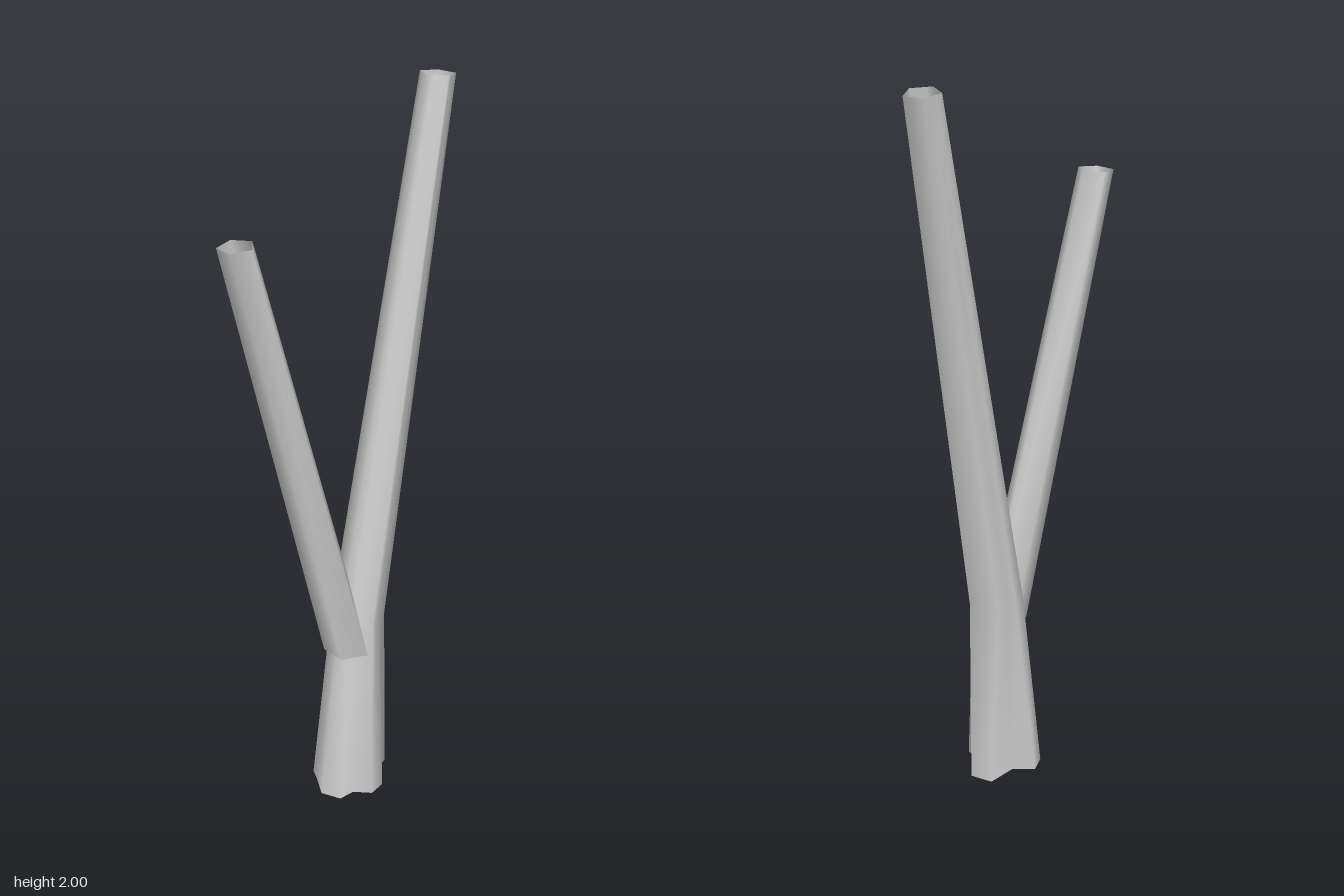
import * as THREE from 'three';

const material = new THREE.MeshStandardMaterial({ color: 0xcccccc, side: THREE.DoubleSide });

// Point at parameter t (0..5, one unit per side) on a pentagon ring tilted along x
function pentagonPoint({ x, y, z, r, start, tilt = 0 }, t) {
  const corner = (i) => {
    const a = THREE.MathUtils.degToRad(start + 72 * i);
    const dx = r * Math.cos(a);
    return new THREE.Vector3(x + dx, y + tilt * dx, z + r * Math.sin(a));
  };
  const i = Math.floor(t);
  return corner(i).lerp(corner(i + 1), t - i);
}

// Open smooth tube through closed rings, listed from bottom to top
function loft(name, rings) {
  const n = rings[0].length;
  const index = [];
  for (let i = 0; i < rings.length - 1; i++) {
    for (let j = 0; j < n; j++) {
      const a = i * n + j;
      const b = i * n + (j + 1) % n;
      index.push(a, a + n, b, b, a + n, b + n);
    }
  }
  const geometry = new THREE.BufferGeometry().setFromPoints(rings.flat());
  geometry.setIndex(index);
  geometry.computeVertexNormals();
  const mesh = new THREE.Mesh(geometry, material);
  mesh.name = name;
  return mesh;
}

export function createModel() {
  const group = new THREE.Group();
  group.name = 'bareTree';

  // Root flare: x, z at the ground and the matching place t on the pentagon above
  const flare = [
    [0.145, 0.03, 0], [0.065, 0.055, 0.4], [0.035, 0.108, 0.7],
    [-0.02, 0.115, 1], [-0.05, 0.07, 1.5], [-0.1, 0.065, 1.7],
    [-0.112, 0.005, 2], [-0.065, -0.05, 2.5], [-0.035, -0.09, 3],
    [0.02, -0.105, 3.3], [0.055, -0.05, 3.6], [0.143, -0.035, 4],
  ];

  // Trunk: lobed foot, bend, and the long leaning limb
  const bend = { x: 0.032, y: 0.515, z: 0.017, r: 0.078, start: 36, tilt: -0.05 };
  const trunkTip = { x: 0.341, y: 1.995, z: 0.033, r: 0.05, start: 36, tilt: -0.1 };
  group.add(loft('trunk', [
    flare.map(([x, z]) => new THREE.Vector3(x, 0, z)),
    flare.map(([, , t]) => pentagonPoint(bend, t)),
    flare.map(([, , t]) => pentagonPoint(trunkTip, t)),
  ]));

  // Side branch, its lower end sunk into the trunk
  const branchRings = [
    { x: -0.015, y: 0.43, z: 0.022, r: 0.066, start: 13 },
    { x: -0.338, y: 1.665, z: -0.073, r: 0.05, start: 13, tilt: 0.1 },
  ];
  group.add(loft('branch', branchRings.map((ring) =>
    [0, 1, 2, 3, 4].map((t) => pentagonPoint(ring, t)))));

  return group;
}
